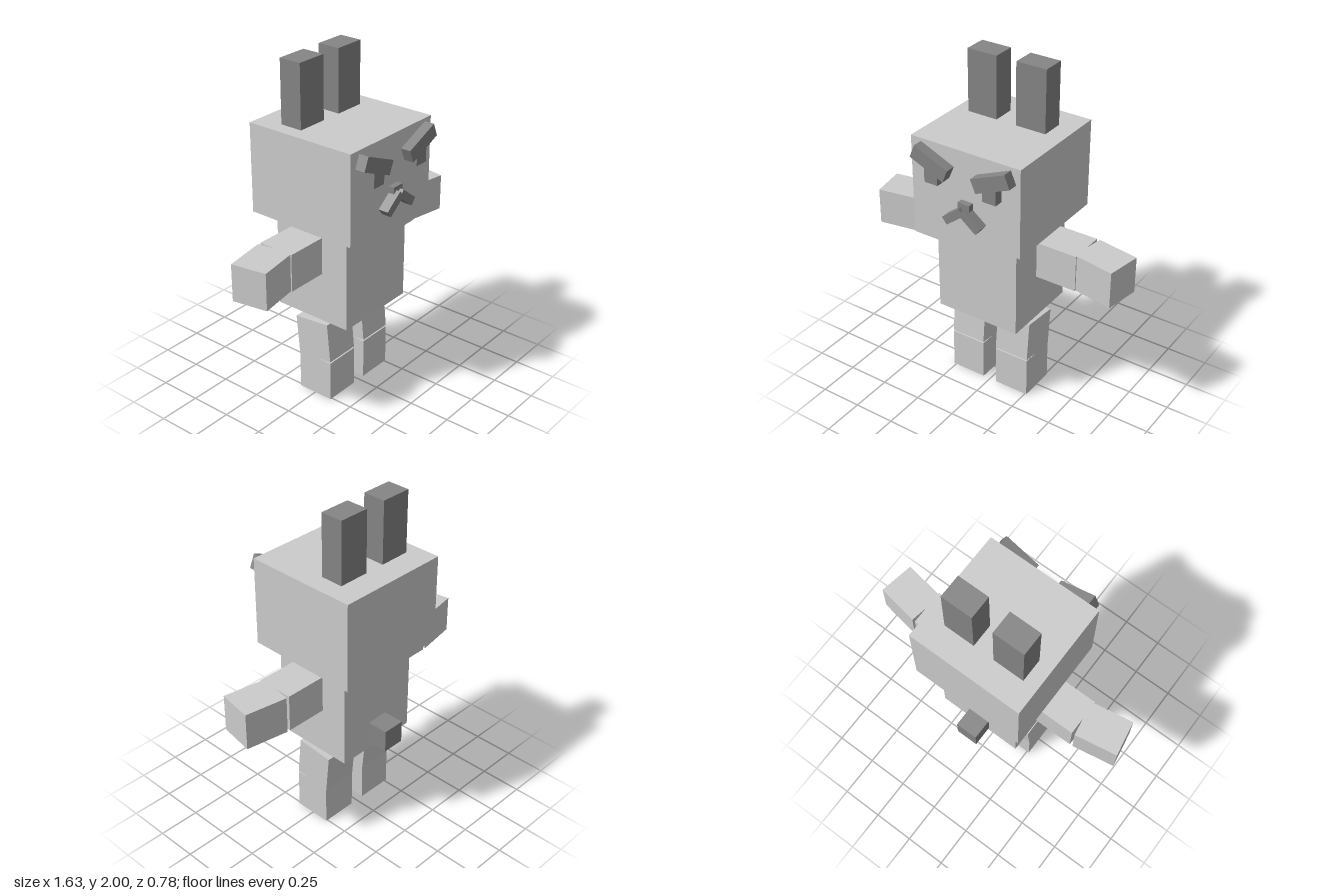
import * as THREE from 'three';

export function createModel() {
  const model = new THREE.Group();
  model.name = 'blockRabbit';
  const light = new THREE.MeshStandardMaterial({ color: 0xcccccc, flatShading: true });
  const dark = new THREE.MeshStandardMaterial({ color: 0x858585, flatShading: true });

  // Box from its centre, size and rotation
  function box(name, material, center, size, rotation = [0, 0, 0]) {
    const mesh = new THREE.Mesh(new THREE.BoxGeometry(...size), material);
    mesh.name = name;
    mesh.position.set(...center);
    mesh.rotation.set(...rotation);
    model.add(mesh);
    return mesh;
  }

  // Head, body and tail
  box('head', light, [-0.003, 1.365, -0.017], [0.695, 0.53, 0.69]);
  box('body', light, [-0.002, 0.78, -0.013], [0.525, 0.525, 0.495]);
  box('tail', dark, [-0.003, 0.63, -0.322], [0.135, 0.135, 0.13]);

  for (const s of [1, -1]) {
    const side = s > 0 ? 'left' : 'right';

    // Ears sit slightly off centre
    box(side + 'Ear', dark, [-0.016 + s * 0.156, 1.815, -0.142], [0.187, 0.37, 0.137]);

    // Arms: straight upper part, forearm bent forward with a notch behind the elbow
    box(side + 'UpperArm', light, [s * 0.421, 0.95, -0.02], [0.248, 0.22, 0.22]);
    box(side + 'Forearm', light, [s * 0.67, 0.95, -0.004], [0.254, 0.22, 0.212], [0, -s * 0.17, 0]);

    // Legs: upright shin, thigh leaning back with a notch in front of the knee
    const legX = -0.002 + s * 0.153;
    box(side + 'Shin', light, [legX, 0.1225, 0.002], [0.217, 0.245, 0.226]);
    box(side + 'Thigh', light, [legX, 0.363, -0.01], [0.217, 0.24, 0.228], [-0.092, 0, 0]);

    // Face: slanted brows over square eyes, two bars for the mouth
    box(side + 'Brow', dark, [0.002 + s * 0.195, 1.53, 0.36], [0.23, 0.083, 0.06], [0, 0, s * 0.4]);
    box(side + 'Eye', dark, [0.002 + s * 0.186, 1.46, 0.357], [0.085, 0.098, 0.055]);
    box(side + 'MouthBar', dark, [0.01 + s * 0.054, 1.258, 0.36], [0.137, 0.049, 0.06], [0, 0, -s * 0.66]);
  }

  // Nose
  box('nose', dark, [0.01, 1.318, 0.347], [0.075, 0.046, 0.036]);

  return model;
}
